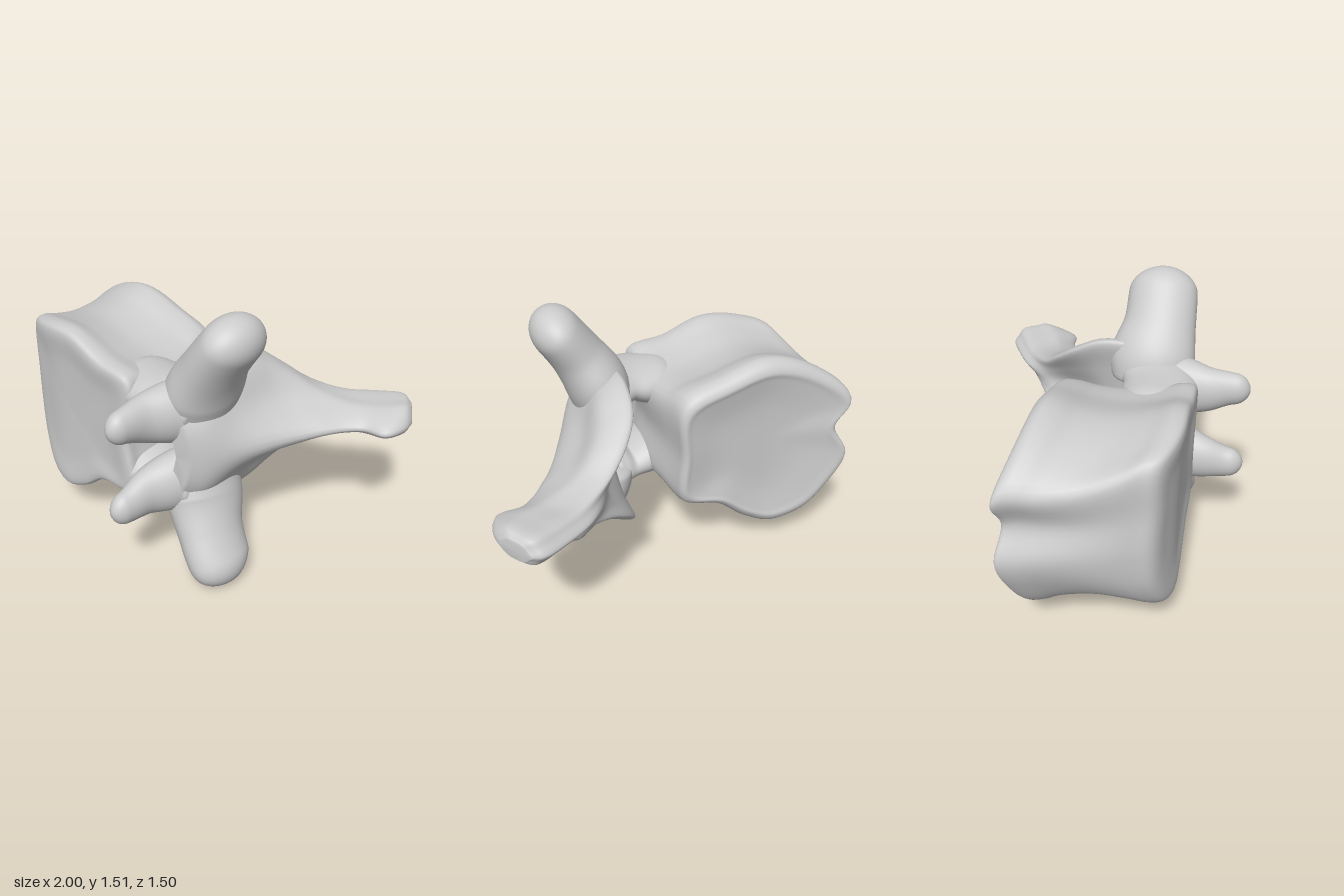
import * as THREE from 'three';

const material = new THREE.MeshStandardMaterial({ color: 0xcccccc, side: THREE.DoubleSide });
const AROUND = 40;

// Closed smooth skin over a stack of rings, each ring running counter-clockwise around the stacking direction.
function skin(name, rings) {
  const positions = rings.flat().flatMap((p) => [p.x, p.y, p.z]);
  const n = rings[0].length, index = [];
  for (let i = 0; i < rings.length - 1; i++) {
    for (let j = 0; j < n; j++) {
      const a = i * n + j, b = i * n + (j + 1) % n;
      index.push(a, b, a + n, b, b + n, a + n);
    }
  }
  const geometry = new THREE.BufferGeometry();
  geometry.setAttribute('position', new THREE.Float32BufferAttribute(positions, 3));
  geometry.setIndex(index);
  geometry.computeVertexNormals();
  const mesh = new THREE.Mesh(geometry, material);
  mesh.name = name;
  return mesh;
}

// Tapering limb: stations are [x, y, z, half-width along ref, half-width across]; the ends are rounded.
function limb(name, stations, ref, tipCap) {
  const path = new THREE.CatmullRomCurve3(stations.map((s) => new THREE.Vector3(s[0], s[1], s[2])));
  const size = new THREE.CatmullRomCurve3(stations.map((s, i) => new THREE.Vector3(s[3], s[4], i * 0.2)));
  const rings = [], steps = 48, rootCap = 0.08;
  for (let i = 0; i <= steps; i++) {
    const t = 0.5 - 0.5 * Math.cos(Math.PI * i / steps);
    const over = Math.max(0, (t - 1 + tipCap) / tipCap, (rootCap - t) / rootCap);
    const round = Math.sqrt(Math.max(0, 1 - over * over));
    const p = path.getPoint(t), s = size.getPoint(t), tangent = path.getTangent(t);
    const u = ref.clone().addScaledVector(tangent, -ref.dot(tangent)).normalize();
    const v = tangent.clone().cross(u);
    const ring = [];
    for (let j = 0; j < AROUND; j++) {
      const angle = 2 * Math.PI * j / AROUND;
      ring.push(p.clone()
        .addScaledVector(u, Math.cos(angle) * s.x * round)
        .addScaledVector(v, Math.sin(angle) * s.y * round));
    }
    rings.push(ring);
  }
  return skin(name, rings);
}

// Waisted block with two dished, heart-shaped end plates.
function vertebralBody() {
  const outline = (points) => new THREE.CatmullRomCurve3(
    points.map(([x, y]) => new THREE.Vector3(x, y, 0)), true);
  const front = outline([
    [0.02, 1.07], [-0.2, 1.12], [-0.42, 1.2], [-0.65, 1.18], [-0.81, 1.12], [-0.83, 0.85], [-0.84, 0.62],
    [-0.81, 0.4], [-0.7, 0.22], [-0.55, 0.17], [-0.38, 0.24], [-0.22, 0.36], [0.02, 0.41], [-0.01, 0.74]]);
  const back = outline([
    [-0.06, 1.05], [-0.3, 1.16], [-0.55, 1.22], [-0.8, 1.14], [-1, 0.96], [-0.93, 0.78], [-1.01, 0.6],
    [-0.93, 0.38], [-0.8, 0.2], [-0.62, 0.14], [-0.45, 0.22], [-0.28, 0.36], [-0.06, 0.45], [-0.05, 0.74]]);
  // Each row: depth from back (0) to front (1), x scale, y scale.
  const profile = new THREE.CatmullRomCurve3([
    [0.05, 0, 0], [0.045, 0.5, 0.5], [0.015, 0.84, 0.8], [0.005, 0.94, 0.88], [0.04, 0.99, 0.96], [0.1, 1, 1],
    [0.18, 1.01, 0.98], [0.32, 1.03, 0.9], [0.55, 1.05, 0.86], [0.76, 1.04, 0.92], [0.9, 1, 0.995], [0.97, 0.99, 0.985],
    [1, 0.94, 0.94], [0.985, 0.6, 0.6], [0.975, 0, 0]].map((r) => new THREE.Vector3(...r)));
  const rings = [], steps = 84, around = 84, cx = -0.45, cy = 0.7;
  for (let i = 0; i <= steps; i++) {
    const s = profile.getPoint(i / steps), ring = [];
    const blend = THREE.MathUtils.clamp(s.x, 0, 1);
    for (let j = 0; j < around; j++) {
      const p = back.getPoint(j / around).lerp(front.getPoint(j / around), blend);
      p.x = cx + (p.x - cx) * s.y;
      p.y = cy + (p.y - cy) * s.z;
      // The end plates lean backwards towards the far rim.
      const lean = Math.max(0, -0.5 - p.x) ** 2;
      p.z = THREE.MathUtils.lerp(-0.24 - 0.35 * lean, 0.485 - 0.85 * lean, s.x);
      ring.push(p);
    }
    rings.push(ring);
  }
  return skin('vertebralBody', rings);
}

// V-shaped arch behind the canal that narrows into the blade sweeping backwards.
function archAndSpinousProcess() {
  // Mid height, then ridge [x, z], flank [x, z, h], wing tip [x, z, h] and canal wall [x, z]; h is off mid height.
  const stations = [
    [0.74, [0.36, 0.41], [0.34, 0.42, 0.14], [0.24, 0.44, 0.28], [0.29, 0.41]],
    [0.74, [0.44, 0.31], [0.4, 0.31, 0.19], [0.21, 0.32, 0.37], [0.25, 0.31]],
    [0.745, [0.53, 0.12], [0.42, 0.11, 0.19], [0.2, 0.1, 0.42], [0.25, 0.11]],
    [0.75, [0.6, -0.03], [0.44, -0.04, 0.17], [0.2, -0.07, 0.41], [0.28, -0.04]],
    [0.755, [0.66, -0.14], [0.48, -0.14, 0.14], [0.22, -0.22, 0.33], [0.34, -0.15]],
    [0.765, [0.72, -0.23], [0.54, -0.24, 0.11], [0.29, -0.33, 0.23], [0.39, -0.28]],
    [0.77, [0.78, -0.31], [0.63, -0.36, 0.088], [0.42, -0.44, 0.12], [0.43, -0.42]],
    [0.775, [0.85, -0.365], [0.75, -0.43, 0.068], [0.59, -0.55, 0.066], [0.55, -0.58]],
    [0.78, [0.96, -0.385], [0.88, -0.49, 0.074], [0.74, -0.64, 0.07], [0.69, -0.68]],
    [0.785, [1.0, -0.5], [0.95, -0.57, 0.074], [0.86, -0.7, 0.07], [0.82, -0.745]],
    [0.785, [0.99, -0.58], [0.96, -0.62, 0.045], [0.91, -0.69, 0.045], [0.88, -0.73]]];
  const sections = stations.map(([y, ridge, flank, wing, wall]) => {
    const mix = THREE.MathUtils.lerp;
    const upper = [
      [mix(wing[0], wall[0], 0.5), mix(wing[1], wall[1], 0.5), wing[2] * 0.55],
      wing,
      [mix(wing[0], ridge[0], 0.35), mix(wing[1], ridge[1], 0.35), mix(wing[2], flank[2], 0.25) + 0.005],
      flank];
    const lower = upper.map(([x, z, h]) => [x, z, -h]).reverse();
    return [[...wall, 0], ...upper, [...ridge, 0], ...lower].map(([x, z, h]) => new THREE.Vector3(x, y + h, z));
  });
  const rails = sections[0].map((_, k) => new THREE.CatmullRomCurve3(sections.map((s) => s[k])));
  const rings = [], steps = 60;
  for (let i = 0; i <= steps; i++) {
    const section = new THREE.CatmullRomCurve3(rails.map((r) => r.getPoint(i / steps)), true);
    rings.push(Array.from({ length: 60 }, (_, j) => section.getPoint(j / 60)));
  }
  // Both ends close to a point.
  const closing = (ring) => {
    const middle = new THREE.Vector3();
    ring.forEach((p) => middle.addScaledVector(p, 1 / ring.length));
    return ring.map(() => middle);
  };
  return skin('archAndSpinousProcess', [closing(rings[0]), ...rings, closing(rings[steps])]);
}

export function createModel() {
  const group = new THREE.Group();
  group.name = 'vertebra';
  const Y = new THREE.Vector3(0, 1, 0), Z = new THREE.Vector3(0, 0, 1);

  group.add(vertebralBody(), archAndSpinousProcess());

  // Paired parts above and below the canal
  for (const side of ['upper', 'lower']) {
    const lower = side === 'lower';
    const place = (stations) => stations.map(([x, y, z, a, b]) => [x, lower ? 1.48 - y : y, z, a, b]);

    // Pedicle bridging the body and the arch
    group.add(limb(side + 'Pedicle', place([
      [-0.2, 0.91, 0.25, 0.13, 0.1], [-0.09, 0.95, 0.275, 0.185, 0.13], [0.01, 0.975, 0.285, 0.2, 0.115],
      [0.11, 0.995, 0.28, 0.195, 0.1], [0.2, 0.985, 0.26, 0.2, 0.13], [0.3, 0.96, 0.22, 0.18, 0.14]]), Z, 0.08));

    // Transverse process, a flat-sided thumb
    const shift = lower ? 0.06 : 0;
    group.add(limb(side + 'TransverseProcess', place([
      [0.24, 0.9, 0.2, 0.2, 0.15], [0.28, 1.06, 0.21, 0.23, 0.165], [0.37, 1.22, 0.23 + shift / 2, 0.195, 0.14],
      [0.465, 1.36, 0.23 + shift, 0.185, 0.13], [0.55, 1.472, 0.23 + shift, 0.165, 0.125]]), Z, 0.24));

    // Articular process pointing forwards
    group.add(limb(side + 'ArticularProcess', place([
      [0.3, 0.94, 0.08, 0.16, 0.1], [0.25, 0.94, 0.26, 0.175, 0.13], [0.2, 0.95, 0.4, 0.16, 0.12],
      [0.17, 0.96, 0.52, 0.13, 0.092], [0.17, 0.975, 0.64, 0.095, 0.068], [0.17, 0.975, 0.75, 0.075, 0.055]]), Y, 0.13));
  }

  return group;
}
